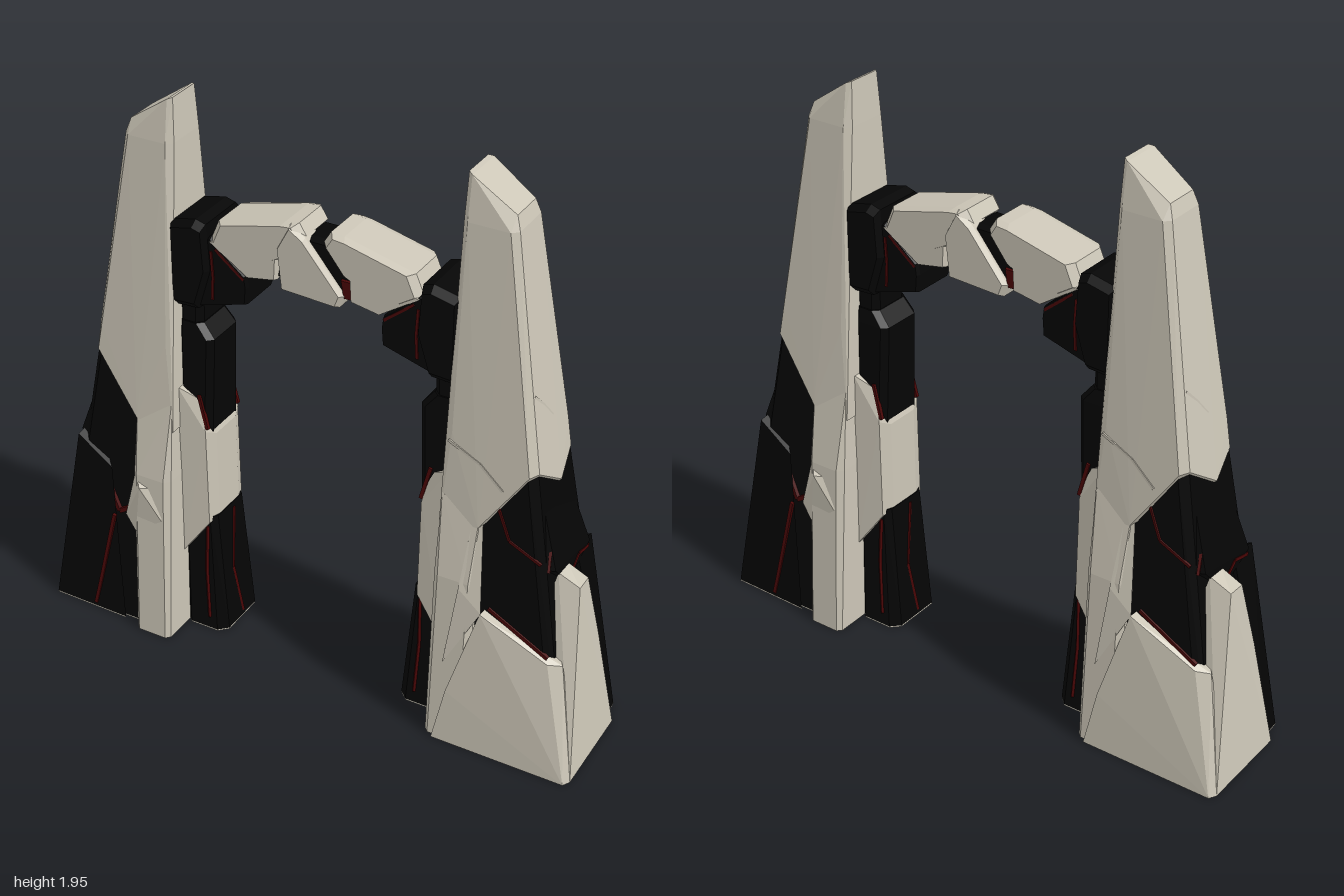
import * as THREE from 'three';
import { ConvexGeometry } from 'three/addons/geometries/ConvexGeometry.js';

const material = (name, color) => {
  const m = new THREE.MeshStandardMaterial({ color });
  m.name = name;
  return m;
};

export function createModel() {
  const stone = material('pale stone', 0xcbc5b6);
  const dark = material('black rock', 0x050505);
  const ember = material('deep red seam', 0x4a0505);

  const half = new THREE.Group();
  half.name = 'halfArch';

  // Faceted rock from the hull of its corner points
  const rock = (name, mat, pts) => {
    const mesh = new THREE.Mesh(new ConvexGeometry(pts.map(p => new THREE.Vector3(...p))), mat);
    mesh.name = name;
    half.add(mesh);
  };
  // Horizontal rectangular section with cut corners
  const ring = (y, x0, x1, z0, z1, c = 0.02) => [
    [x0 + c, y, z0], [x1 - c, y, z0], [x1, y, z0 + c], [x1, y, z1 - c],
    [x1 - c, y, z1], [x0 + c, y, z1], [x0, y, z1 - c], [x0, y, z0 + c]];
  // Upright outline given depth, with bevelled front and back
  const chunk = (name, mat, outline, z0, z1, inset = 0.8, bevel = 0.025) => {
    const n = outline.length;
    const cx = outline.reduce((s, p) => s + p[0], 0) / n;
    const cy = outline.reduce((s, p) => s + p[1], 0) / n;
    const pts = [];
    for (const [x, y] of outline) {
      const ix = cx + (x - cx) * inset, iy = cy + (y - cy) * inset;
      pts.push([x, y, z0 + bevel], [x, y, z1 - bevel], [ix, iy, z0], [ix, iy, z1]);
    }
    rock(name, mat, pts);
  };
  // Thin bars following a cracked line
  const seam = (name, mat, pts, w = 0.009) => {
    for (let i = 1; i < pts.length; i++) {
      const a = new THREE.Vector3(...pts[i - 1]), b = new THREE.Vector3(...pts[i]);
      const bar = new THREE.Mesh(new THREE.BoxGeometry(w, w, a.distanceTo(b)), mat);
      bar.name = name;
      bar.position.copy(a).add(b).multiplyScalar(0.5);
      bar.lookAt(b);
      half.add(bar);
    }
  };

  // Pale underside plates; the black rock stands just above them
  const lift = 0.005;
  const coreZ = y => 0.135 + (1.04 - y) * 0.06;
  const coreX = y => 0.785 + (1.04 - y) * 0.17;
  const soles = [
    ring(0, 0.49, coreX(0), -coreZ(0), coreZ(0), 0.025),
    ring(0, 0.335, 0.5, -0.115, 0.115, 0.03),
    [[0.975, 0, -0.13], [0.97, 0, -0.205], [0.68, 0, -0.21], [0.8, 0, -0.1]]];
  for (const sole of soles) {
    rock('underside', stone, [...sole, ...sole.map(([x, , z]) => [x, lift, z])]);
  }

  // Black core of the pillar
  rock('pillarCore', dark, [
    ...ring(lift, 0.49, coreX(0), -coreZ(0), coreZ(0), 0.025),
    ...ring(1.04, 0.49, coreX(1.04), -coreZ(1.04), coreZ(1.04), 0.025)]);
  // Raised black shards on the outer side
  rock('outerShard', dark, [
    [0.79, 0.96, 0.09], [0.79, 0.92, -0.1], [0.865, 0.72, 0.12], [0.87, 0.68, -0.13],
    [0.80, 0.72, 0.15], [0.80, 0.66, -0.15], [0.86, 0.6, 0], [0.75, 0.9, 0]]);
  rock('backWedge', dark, [
    [0.855, 0.7, -0.06], [0.86, 0.68, -0.165], [0.72, 0.6, -0.18], [0.975, lift, -0.13],
    [0.97, lift, -0.205], [0.68, lift, -0.21], [0.8, lift, -0.1]]);

  // Tall pale tower with a slanted crown
  rock('tower', stone, [
    [0.495, 1.945, 0.06], [0.495, 1.945, -0.06], [0.51, 1.94, 0.07], [0.51, 1.94, -0.07],
    [0.65, 1.845, 0.06], [0.65, 1.845, -0.06],
    ...ring(1.8, 0.49, 0.665, -0.09, 0.09, 0.02),
    ...ring(1.12, 0.485, 0.775, -0.138, 0.138, 0.025),
    [0.79, 1.045, 0.115], [0.79, 1.02, -0.115], [0.77, 1.04, 0.144], [0.77, 1.03, -0.144],
    [0.806, 0.955, -0.02],
    [0.62, 0.82, 0.163], [0.62, 0.82, -0.163], [0.485, 0.8, 0.155], [0.485, 0.8, -0.155]]);

  // Pale spine running to the ground
  rock('spine', stone, [
    ...ring(0, 0.485, 0.62, -0.238, 0.22, 0.015),
    ...ring(0.62, 0.485, 0.63, -0.198, 0.195, 0.02),
    [0.49, 0.9, 0.15], [0.49, 0.9, -0.15], [0.62, 0.84, 0.158], [0.62, 0.84, -0.158]]);
  rock('frontSpineFlare', stone, [
    [0.6, 0.84, 0.158], [0.634, 0.83, 0.155], [0.63, 0.61, 0.185], [0.657, 0.525, 0.195],
    [0.54, 0.3, 0.212], [0.6, 0.6, 0.1], [0.58, 0.6, 0.201]]);
  rock('backSpineShard', stone, [
    [0.51, 0.58, -0.17], [0.51, 0.47, -0.21], [0.62, 0.39, -0.205], [0.667, 0.435, -0.19],
    [0.63, 0.62, -0.17], [0.59, 0.58, -0.215], [0.6, 0.45, -0.12]]);

  // Pale lower panels at the front and outer side
  rock('frontPanel', stone, [
    [0.52, 0, 0.235], [0.985, 0, 0.235], [1, 0, 0.21], [0.96, 0, 0.06], [0.55, 0, 0.1],
    [0.655, 0.525, 0.198], [0.66, 0.525, 0.13], [0.885, 0.41, 0.185], [0.925, 0.40, 0.155],
    [0.88, 0.40, 0.09], [0.56, 0.2, 0.224]]);
  rock('outerPanel', stone, [
    [1, 0, 0.21], [1, 0, -0.125], [0.95, 0, -0.145], [0.93, 0, 0.2],
    [0.955, 0.4, 0.11], [0.952, 0.4, -0.055], [0.93, 0.65, 0.075], [0.925, 0.64, 0.0],
    [0.86, 0.69, 0.085], [0.86, 0.69, 0.02], [0.84, 0.6, 0.1], [0.85, 0.6, -0.03]]);

  // Inner column, from the foot up to the shoulder
  rock('innerFoot', dark, [
    ...ring(lift, 0.335, 0.5, -0.115, 0.115, 0.03), ...ring(0.46, 0.372, 0.5, -0.095, 0.095, 0.02)]);
  rock('innerPanel', stone, [
    [0.49, 0.3, 0.118], [0.49, 0.3, -0.118], [0.375, 0.45, 0.06], [0.375, 0.45, -0.06],
    [0.39, 0.44, 0.102], [0.39, 0.44, -0.102], [0.378, 0.78, 0.06], [0.378, 0.78, -0.06],
    [0.395, 0.8, 0.1], [0.395, 0.8, -0.1], [0.42, 0.91, 0.085], [0.42, 0.91, -0.085],
    [0.49, 0.95, 0.11], [0.49, 0.95, -0.11]]);
  rock('innerColumn', dark, [
    ...ring(0.75, 0.385, 0.5, -0.092, 0.092), ...ring(1.14, 0.37, 0.5, -0.085, 0.085),
    ...ring(1.19, 0.41, 0.5, -0.08, 0.08)]);
  rock('innerNeck', dark, [
    ...ring(1.1, 0.415, 0.5, -0.075, 0.075), ...ring(1.32, 0.41, 0.5, -0.075, 0.075)]);
  chunk('shoulder', dark, [[0.375, 1.56], [0.41, 1.57], [0.5, 1.55], [0.5, 1.25],
    [0.41, 1.255], [0.365, 1.4]], -0.112, 0.112, 0.85);
  chunk('archBracket', dark, [[0.235, 1.37], [0.24, 1.31], [0.41, 1.26], [0.43, 1.5],
    [0.365, 1.515], [0.24, 1.41]], -0.085, 0.085, 0.95, 0.015);

  // Cracked pale stones of the arch
  chunk('upperArchStone', stone, [[0.055, 1.64], [0.1, 1.635], [0.34, 1.575], [0.372, 1.5],
    [0.31, 1.46], [0.16, 1.48], [0.1, 1.51], [0.03, 1.6]], -0.09, 0.09, 0.87);
  chunk('lowerArchStone', stone, [[0.125, 1.515], [0.25, 1.53], [0.37, 1.505], [0.23, 1.412],
    [0.13, 1.43]], -0.088, 0.088, 0.95, 0.015);
  chunk('keystoneShard', stone, [[-0.11, 1.405], [0.09, 1.395], [0.105, 1.435], [0.0, 1.55],
    [-0.03, 1.6], [-0.08, 1.635], [-0.125, 1.55]], 0.005, 0.095, 0.92, 0.02);
  chunk('archCore', dark, [[-0.03, 1.595], [0.04, 1.595], [0.14, 1.52], [0.14, 1.43],
    [0, 1.42]], -0.066, 0.066, 0.9);
  chunk('archEmber', ember, [[0.09, 1.49], [0.135, 1.49], [0.135, 1.425], [0.1, 1.425]],
    0, 0.074, 0.9, 0.01);

  // Red seams in the black rock
  const onFront = ([x, y]) => [x, y, coreZ(y)];
  const onBack = ([x, y]) => [x, y, -coreZ(y) - 0.004];
  seam('frontSeam', ember, [[0.67, 0.92], [0.72, 0.8], [0.83, 0.75]].map(onFront));
  seam('frontEdgeSeam', ember, [[0.67, 0.535], [0.88, 0.425]].map(onFront), 0.012);
  seam('backSeam', ember, [[0.76, 0.56], [0.70, 0.43], [0.65, 0.46]].map(onBack), 0.016);
  seam('backSeam', ember, [[0.71, 0.42], [0.78, 0.12], [0.805, 0.02]]
    .map(([x, y]) => [x, y, -0.196 - (0.42 - y) * 0.026]), 0.012);
  seam('outerSeam', ember, [[0.863, 0.66, -0.13], [0.865, 0.68, -0.05], [0.86, 0.63, -0.01]], 0.012);
  seam('outerSeam', ember, [[0.84, 0.78, 0.11], [0.85, 0.72, 0.14]]);
  for (const s of [-1, 1]) {
    seam('footSeam', ember, [[0.40, 0.42, s * 0.098], [0.405, 0.25, s * 0.105], [0.395, 0.05, s * 0.113]]);
    seam('columnSeam', ember, [[0.39, 0.81, s * 0.092], [0.42, 0.93, s * 0.09]], 0.012);
    seam('shoulderSeam', ember, [[0.36, 1.47, s * 0.084], [0.355, 1.38, s * 0.084], [0.36, 1.3, s * 0.084]]);
    seam('bracketSeam', ember, [[0.245, 1.4, s * 0.082], [0.345, 1.482, s * 0.084]]);
  }
  seam('footInnerSeam', ember, [[0.37, 0.44, 0.02], [0.354, 0.22, -0.02], [0.338, 0.02, 0.01]]);

  // Fine raised crack edges in the tower
  seam('towerCrack', stone, [[0.5, 1.09, 0.14], [0.61, 1.04, 0.144], [0.69, 0.97, 0.149]]);
  seam('towerSideCrack', stone, [[0.746, 1.29, 0.09], [0.754, 1.24, 0.04], [0.764, 1.18, -0.01]]);

  // The other half is the same shape turned half a circle
  const other = half.clone();
  other.rotation.y = Math.PI;
  const model = new THREE.Group();
  model.name = 'rockArch';
  model.add(half, other);
  return model;
}
